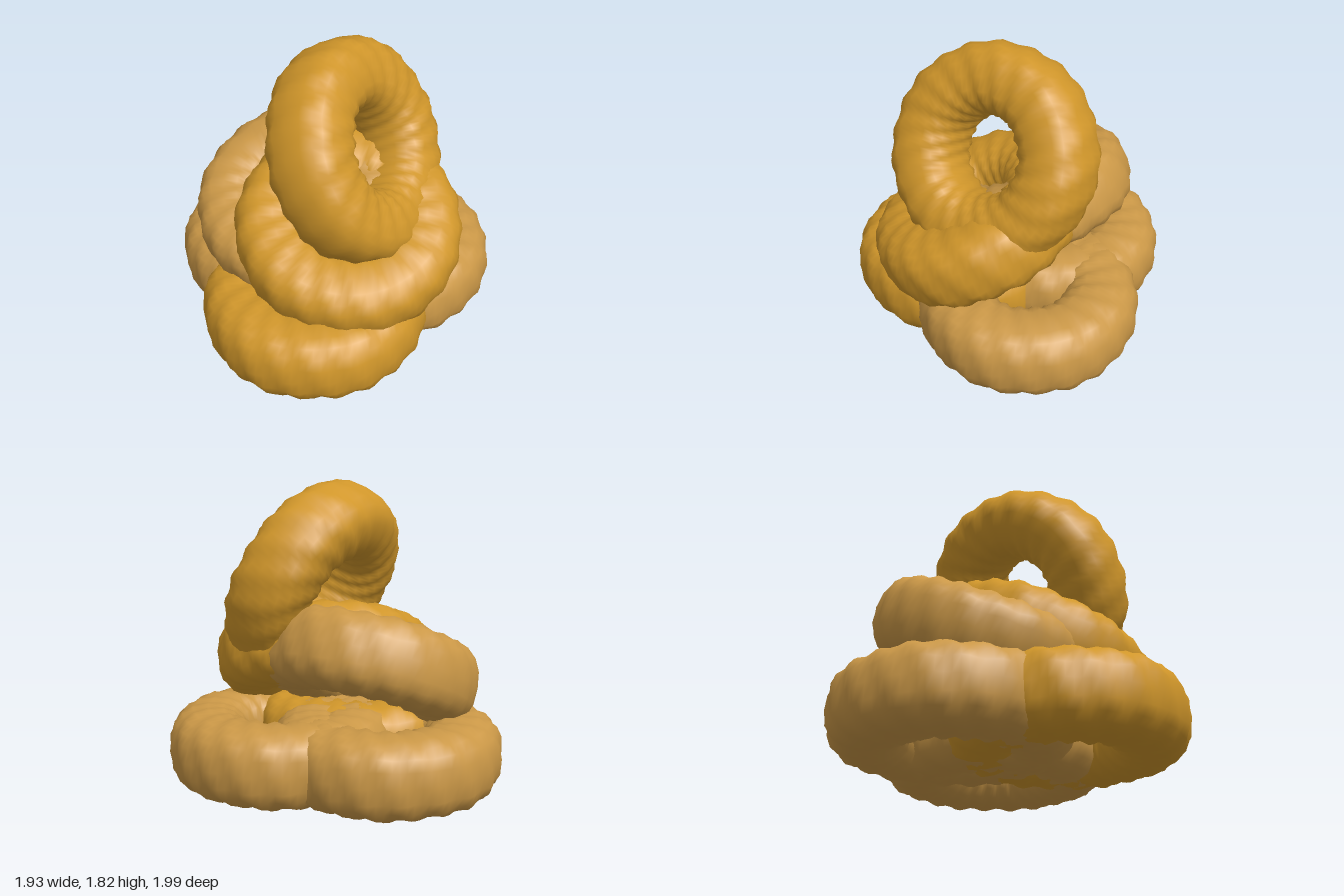
import * as THREE from 'three';
import { mergeVertices } from 'three/addons/utils/BufferGeometryUtils.js';

// Rounded-square power curve for a slightly boxy tube section
const soft = (t, p) => Math.sign(t) * Math.pow(Math.abs(t), p);

// Thick ring with spiral ridges, axis along z
function makeRingGeometry(R, halfWidth, halfHeight) {
  const radial = 20, tubular = 100;
  const geo = new THREE.TorusGeometry(R, halfWidth, radial, tubular);
  const pos = geo.attributes.position;
  for (let j = 0; j <= radial; j++) {
    for (let i = 0; i <= tubular; i++) {
      const u = ((i % tubular) / tubular) * Math.PI * 2;
      const v = ((j % radial) / radial) * Math.PI * 2;
      const swell = 1 + 0.04 * Math.sin(20 * u + 4 * v) + 0.012 * Math.sin(7 * u + v);
      const r = R + halfWidth * swell * soft(Math.cos(v), 0.8);
      const h = halfHeight * swell * soft(Math.sin(v), 0.8);
      pos.setXYZ(j * (tubular + 1) + i, r * Math.cos(u), r * Math.sin(u), h);
    }
  }
  // Weld the seams so the shading is continuous
  geo.deleteAttribute('uv');
  geo.deleteAttribute('normal');
  const welded = mergeVertices(geo, 1e-5);
  welded.computeVertexNormals();
  return welded;
}

export function createModel() {
  const group = new THREE.Group();
  group.name = 'ringPile';
  const gold = new THREE.MeshStandardMaterial({ color: 0xd0962a });
  gold.name = 'golden crust';
  const tan = new THREE.MeshStandardMaterial({ color: 0xcb9847 });
  tan.name = 'pale crust';
  const wide = makeRingGeometry(0.447, 0.228, 0.233);
  const slim = makeRingGeometry(0.442, 0.21, 0.232);
  const zAxis = new THREE.Vector3(0, 0, 1);

  // name, shape, material, centre, direction of the ring's axis
  const rings = [
    ['bottomRightRing', wide, tan, [0.285, 0.241, -0.015], [0, 1, 0]],
    ['bottomBackRing', wide, tan, [-0.28, 0.24, -0.315], [0, 1, 0]],
    ['bottomFrontRing', wide, gold, [-0.28, 0.243, 0.315], [0, 1, 0]],
    ['middleBackRing', slim, tan, [-0.225, 0.7, -0.125], [-0.3, 0.9, 0.29]],
    ['middleFrontRing', wide, gold, [-0.04, 0.7, 0.225], [-0.1, 0.9, 0.4]],
    ['topRing', slim, gold, [0.045, 1.185, 0.155], [0.62, 0.44, 0.65]],
  ];
  for (const [name, shape, material, centre, axis] of rings) {
    const ring = new THREE.Mesh(shape, material);
    ring.name = name;
    ring.position.set(...centre);
    ring.quaternion.setFromUnitVectors(zAxis, new THREE.Vector3(...axis).normalize());
    group.add(ring);
  }
  return group;
}
